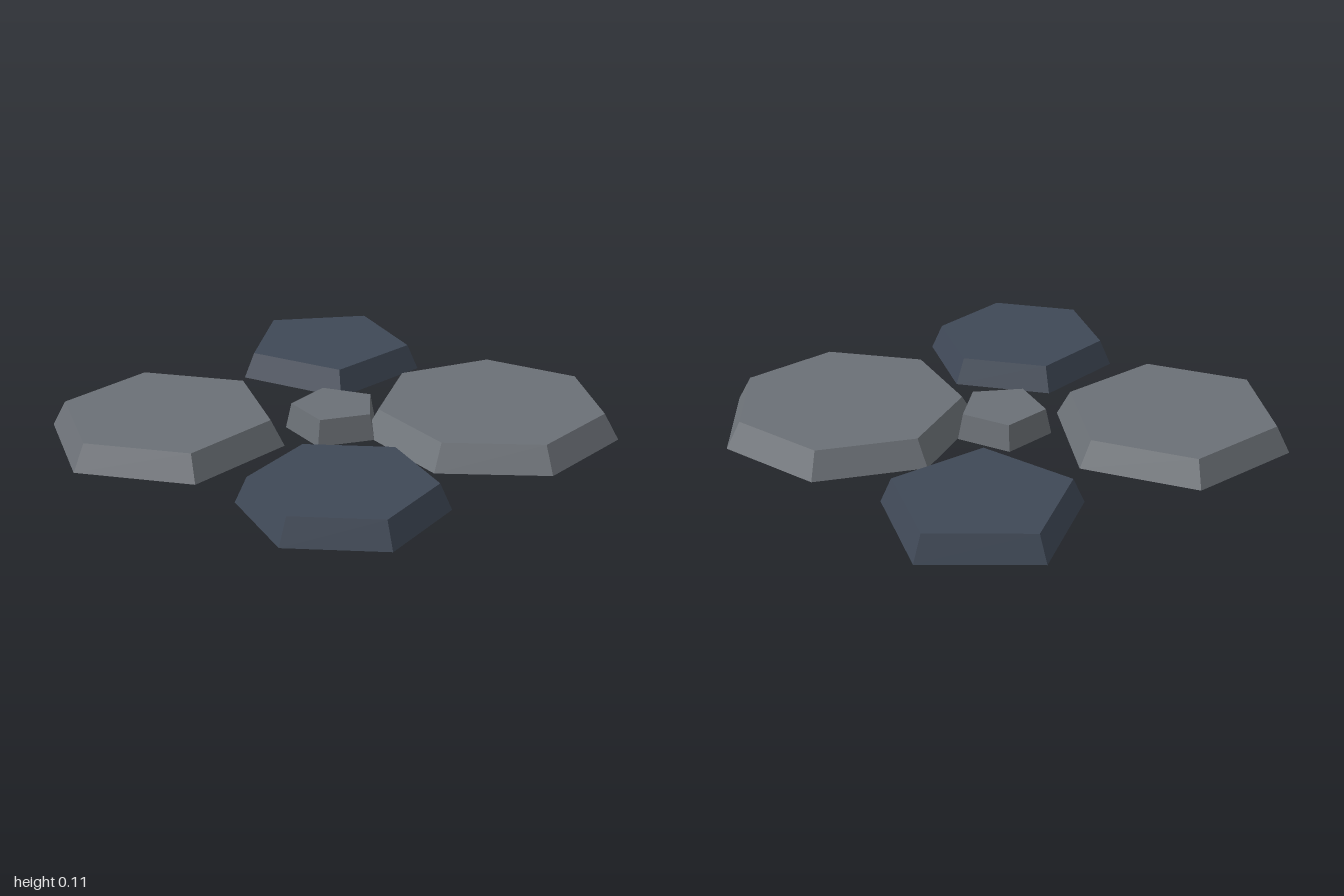
import * as THREE from 'three';

const HEIGHT = 0.108;
const TAPER = 0.885; // top radius relative to bottom radius

export function createModel() {
  const group = new THREE.Group();
  group.name = 'steppingStones';

  const grey = new THREE.MeshStandardMaterial({ color: 0x6b7076 });
  grey.name = 'greyStone';
  const slate = new THREE.MeshStandardMaterial({ color: 0x3f4856 });
  slate.name = 'slateStone';

  // A bevelled polygonal slab; angle is the direction of one corner, from +x towards +z
  function addStone(name, material, sides, radius, x, z, angle) {
    const start = THREE.MathUtils.degToRad(90 - angle);
    const indexed = new THREE.CylinderGeometry(radius * TAPER, radius, HEIGHT, sides, 1, false, start);
    const geometry = indexed.toNonIndexed();
    geometry.computeVertexNormals(); // flat faces
    const stone = new THREE.Mesh(geometry, material);
    stone.name = name;
    stone.position.set(x, HEIGHT / 2, z);
    group.add(stone);
  }

  addStone('backRightStone', grey, 6, 0.496, -0.504, -0.467, 0);
  addStone('backLeftStone', slate, 5, 0.41, 0.534, -0.53, -86.75);
  addStone('centreStone', grey, 5, 0.203, 0.015, -0.01, 13);
  addStone('frontRightStone', slate, 6, 0.41, -0.502, 0.506, -8.2);
  addStone('frontLeftStone', grey, 7, 0.534, 0.469, 0.447, 11.7);

  return group;
}
